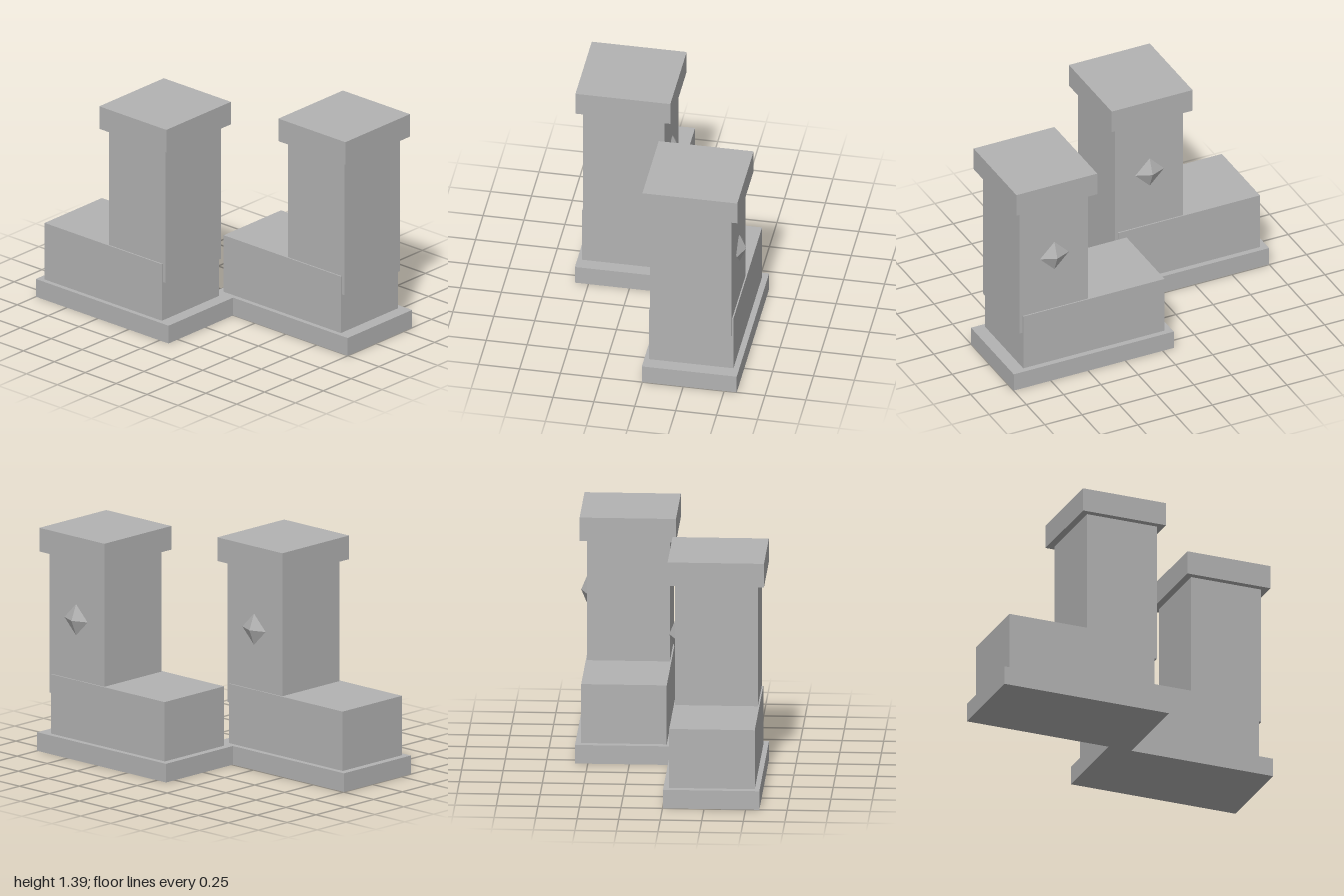
import * as THREE from 'three';

export function createModel() {
  const model = new THREE.Group();
  model.name = 'bootPair';
  const grey = new THREE.MeshStandardMaterial({ color: 0xb2b2b2 });
  grey.name = 'grey';

  // Box from its minimum and maximum corners
  function block(parent, name, [x0, y0, z0], [x1, y1, z1]) {
    const mesh = new THREE.Mesh(new THREE.BoxGeometry(x1 - x0, y1 - y0, z1 - z0), grey);
    mesh.position.set((x0 + x1) / 2, (y0 + y1) / 2, (z0 + z1) / 2);
    mesh.name = name;
    parent.add(mesh);
  }

  // One boot, toe towards -x
  function boot(name) {
    const group = new THREE.Group();
    group.name = name;
    block(group, 'sole', [-1, 0, 0.003], [0.073, 0.116, 0.583]);
    block(group, 'foot', [-0.956, 0.116, 0.038], [-0.008, 0.485, 0.553]);
    block(group, 'shaft', [-0.445, 0.366, 0.046], [0.012, 1.245, 0.544]);
    block(group, 'cuff', [-0.487, 1.243, 0.003], [0.055, 1.39, 0.583]);

    // Flattened octahedral stud set into the back of the shaft
    const stud = new THREE.Mesh(new THREE.OctahedronGeometry(1, 0).scale(0.097, 0.097, 0.04), grey);
    stud.geometry.computeVertexNormals();
    stud.position.set(-0.217, 0.862, 0.038);
    stud.name = 'stud';
    group.add(stud);
    return group;
  }

  const frontBoot = boot('frontBoot');
  const backBoot = boot('backBoot');
  backBoot.position.set(0.926, 0, -0.58);
  model.add(frontBoot, backBoot);
  return model;
}
